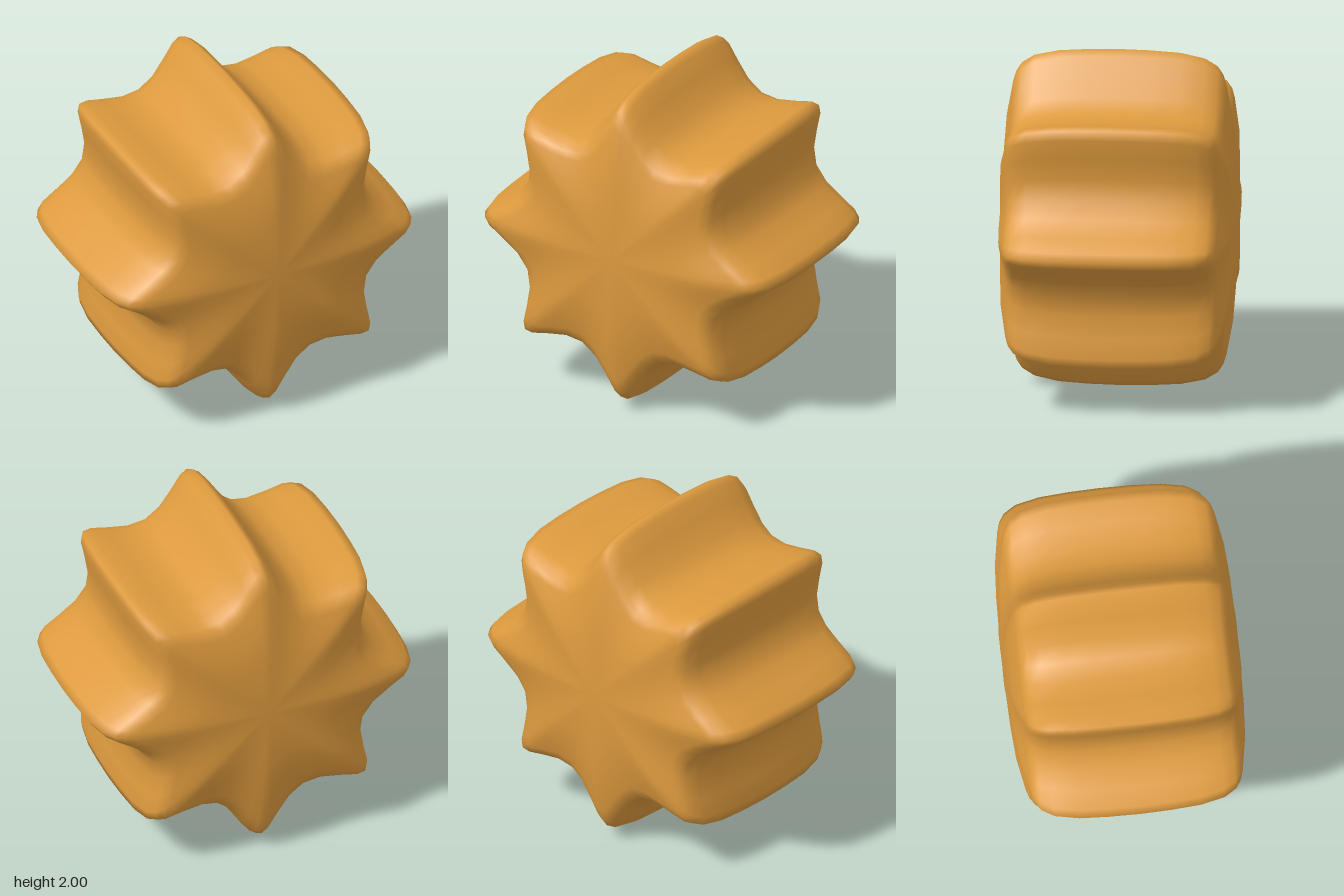
import * as THREE from 'three';
import { mergeVertices } from 'three/addons/utils/BufferGeometryUtils.js';

// Half of one star point: [degrees from the tip, radius], tip to valley
const halfPoint = [[0, 1], [2.7, 0.97], [7.2, 0.877], [14, 0.783], [22.5, 0.745]];

// Front half of the depth profile: [scale of the outline, z], centre to rim
const halfDepth = [
  [0, 0.677], [0.2, 0.674], [0.4, 0.666], [0.6, 0.65], [0.8, 0.613], [0.86, 0.595],
  [0.91, 0.562], [0.955, 0.49], [0.985, 0.35], [0.996, 0.18], [1, 0],
];

// Full eight-pointed outline, clockwise from the top
function starOutline() {
  const outline = [];
  for (let k = 0; k < 8; k++) {
    for (const [a, r] of halfPoint) outline.push([k * 45 + a, r]);
    for (const [a, r] of halfPoint.slice(1, -1).reverse()) outline.push([k * 45 + 45 - a, r]);
  }
  return outline;
}

// Cushioned star: the outline scaled along z, closed at both faces
function starGeometry() {
  const outline = starOutline();
  const n = outline.length;
  const rings = [...halfDepth, ...halfDepth.slice(0, -1).reverse().map(([s, z]) => [s, -z])];
  const positions = [], index = [];
  rings.forEach(([s, z], i) => {
    outline.forEach(([deg, r], j) => {
      const a = THREE.MathUtils.degToRad(deg);
      positions.push(Math.sin(a) * r * s, 1 + Math.cos(a) * r * s, z);
      if (i === rings.length - 1) return;
      const k = (j + 1) % n;
      const A = i * n + j, B = A + n, C = i * n + k, D = C + n;
      if (i > 0) index.push(A, C, B);
      if (i < rings.length - 2) index.push(C, D, B);
      else index.push(C, B, B);
    });
  });
  // Drop collapsed corners at the back pole
  const faces = [];
  for (let t = 0; t < index.length; t += 3) {
    if (index[t + 1] !== index[t + 2]) faces.push(index[t], index[t + 1], index[t + 2]);
  }
  const geometry = new THREE.BufferGeometry();
  geometry.setAttribute('position', new THREE.Float32BufferAttribute(positions, 3));
  geometry.setIndex(faces);
  const merged = mergeVertices(geometry, 1e-5);
  merged.computeVertexNormals();
  return merged;
}

export function createModel() {
  const group = new THREE.Group();
  group.name = 'star';
  const amber = new THREE.MeshStandardMaterial({ color: 0xdd9a3e });
  amber.name = 'amber';
  const body = new THREE.Mesh(starGeometry(), amber);
  body.name = 'starBody';
  group.add(body);
  return group;
}
